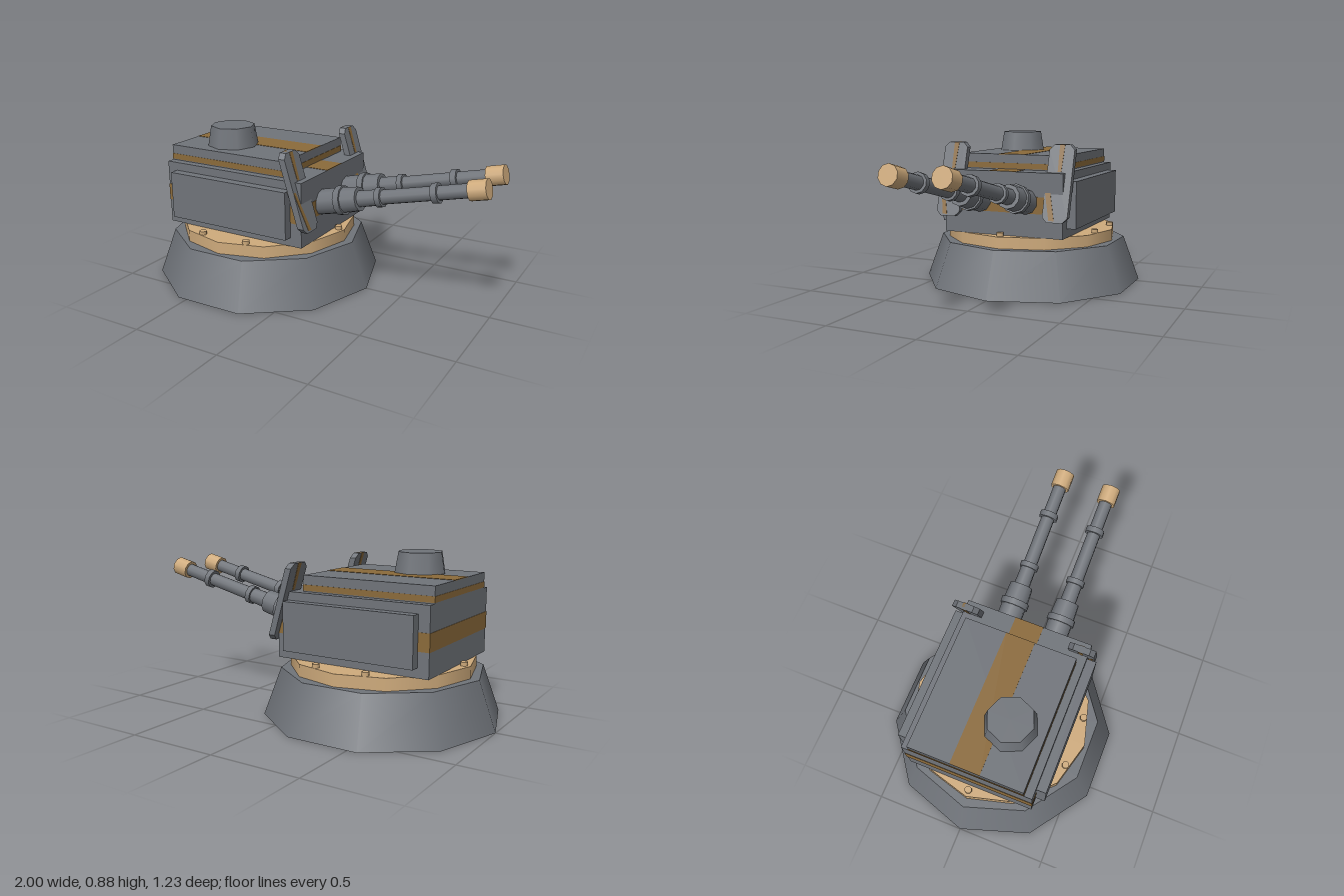
import * as THREE from 'three';

export function createModel() {
  const root = new THREE.Group();
  const paint = (name, color, side = THREE.FrontSide) =>
    Object.assign(new THREE.MeshStandardMaterial({ color, side }), { name });
  const grey = paint('gunmetal grey', 0x70747a);
  const gold = paint('pale brass', 0xcfab7c);
  const brown = paint('ochre stripe', 0x8b6a3a);

  const add = (name, geometry, material, parent = root) => {
    const mesh = new THREE.Mesh(geometry, material);
    mesh.name = name;
    parent.add(mesh);
    return mesh;
  };
  // Box given by its limits on each axis
  const box = (name, [x0, x1], [y0, y1], [z0, z1], material) =>
    add(name, new THREE.BoxGeometry(x1 - x0, y1 - y0, z1 - z0), material)
      .position.set((x0 + x1) / 2, (y0 + y1) / 2, (z0 + z1) / 2);
  // Upright tapered cylinder with a corner on the x axis
  const drum = (name, rTop, rBottom, y0, y1, sides, x, z, material, parent = root) => {
    const geo = new THREE.CylinderGeometry(rTop, rBottom, y1 - y0, sides).rotateY(Math.PI / 2);
    const mesh = add(name, geo, material, parent);
    mesh.position.set(x, (y0 + y1) / 2, z);
    return mesh;
  };

  // Pedestal, turning ring and its bolts
  const cx = -0.355;
  drum('pedestal', 0.55, 0.645, 0, 0.26, 10, cx, 0, grey);
  drum('turningRing', 0.5, 0.5, 0.26, 0.325, 12, cx, 0, gold);
  for (let i = 0; i < 10; i++) {
    const a = (i * Math.PI) / 5;
    drum('ringBolt', 0.02, 0.02, 0.32, 0.345, 8, cx + 0.464 * Math.cos(a), 0.464 * Math.sin(a), gold);
  }

  // Turret body, roof and side panels
  box('body', [-0.79, 0.08], [0.325, 0.68], [-0.355, 0.355], grey);
  box('roof', [-0.79, -0.05], [0.68, 0.765], [-0.31, 0.31], grey);
  for (const s of [-1, 1]) {
    const z = [0.35 * s, 0.407 * s].sort((a, b) => a - b);
    box('sidePanel', [-0.73, 0.015], [0.375, 0.635], z, grey);
  }

  // Painted bands around body and roof, and stripe along the top
  const e = 0.002;
  box('bodyBand', [-0.79 - e, 0.08 + e], [0.455, 0.548], [-0.355 - e, 0.355 + e], brown);
  box('roofBand', [-0.79 - e, -0.05 + e], [0.685, 0.716], [-0.31 - e, 0.31 + e], brown);
  box('roofStripe', [-0.79, -0.05], [0.763, 0.765 + e], [-0.08, 0.08], brown);
  box('bodyTopStripe', [-0.05, 0.08], [0.678, 0.68 + e], [-0.08, 0.08], brown);

  // Roof hatch
  drum('hatch', 0.122, 0.142, 0.765, 0.877, 8, -0.5, 0.128, grey);

  // Leaning plates, outlined in (z, y) and sheared back with height
  const lean = 0.305;
  const plate = (name, points, xBack, thick, material) => {
    const shape = new THREE.Shape(points.map(([z, y]) => new THREE.Vector2(-z, y)));
    const geo = new THREE.ExtrudeGeometry(shape, { depth: thick, bevelEnabled: false });
    geo.rotateY(Math.PI / 2);
    geo.applyMatrix4(new THREE.Matrix4().makeShear(0, 0, -lean, 0, 0, 0));
    geo.translate(xBack + 0.83 * lean, 0, 0);
    add(name, geo, material);
  };
  const c = 0.027;
  for (const s of [-1, 1]) {
    const outline = [
      [0.25, 0.42 + c], [0.25, 0.83 - c], [0.25 + c, 0.83], [0.393 - c, 0.83],
      [0.393, 0.83 - c], [0.393, 0.42 + c], [0.393 - c, 0.42], [0.25 + c, 0.42],
    ].map(([z, y]) => [z * s, y]);
    plate('shield', outline, -0.037, 0.037, grey);
    // Painted slashes show on both faces of the shield
    const m = s > 0 ? 0.32 : -0.322;
    plate('shieldUpperStripe', [[m + 0.014, 0.83], [m - 0.015, 0.83], [m - 0.009, 0.685], [m + 0.011, 0.685]],
      -0.037 - e, 0.037 + 2 * e, brown);
    const slash = s > 0
      ? [[0.393, 0.635], [0.375, 0.635], [0.325, 0.43], [0.352, 0.43]]
      : [[-0.25, 0.585], [-0.283, 0.575], [-0.32, 0.43], [-0.29, 0.43]];
    plate('shieldLowerStripe', slash, -0.037 - e, 0.037 + 2 * e, brown);
  }

  // Twin raised guns: [name, start, end, back radius, front radius, colour]
  const sections = [
    ['gunMount', -0.06, 0.1, 0.07, 0.07, grey],
    ['gunCollar', 0.09, 0.125, 0.08, 0.08, grey],
    ['gunSleeve', 0.125, 0.215, 0.07, 0.066, grey],
    ['barrelRoot', 0.21, 0.33, 0.045, 0.043, grey],
    ['barrelRing', 0.32, 0.35, 0.053, 0.053, grey],
    ['barrel', 0.33, 0.84, 0.039, 0.037, grey],
    ['barrelRing', 0.628, 0.66, 0.053, 0.053, grey],
    ['muzzle', 0.818, 0.912, 0.053, 0.053, gold],
  ];
  for (const z of [-0.138, 0.138]) {
    const gun = new THREE.Group();
    gun.name = 'gun';
    gun.position.set(0.1, 0.525, z);
    gun.rotation.z = THREE.MathUtils.degToRad(13.3 - 90);
    for (const [name, t0, t1, r0, r1, mat] of sections)
      drum(name, r1, r0, t0, t1, 10, 0, 0, mat, gun);
    root.add(gun);
  }
  return root;
}
